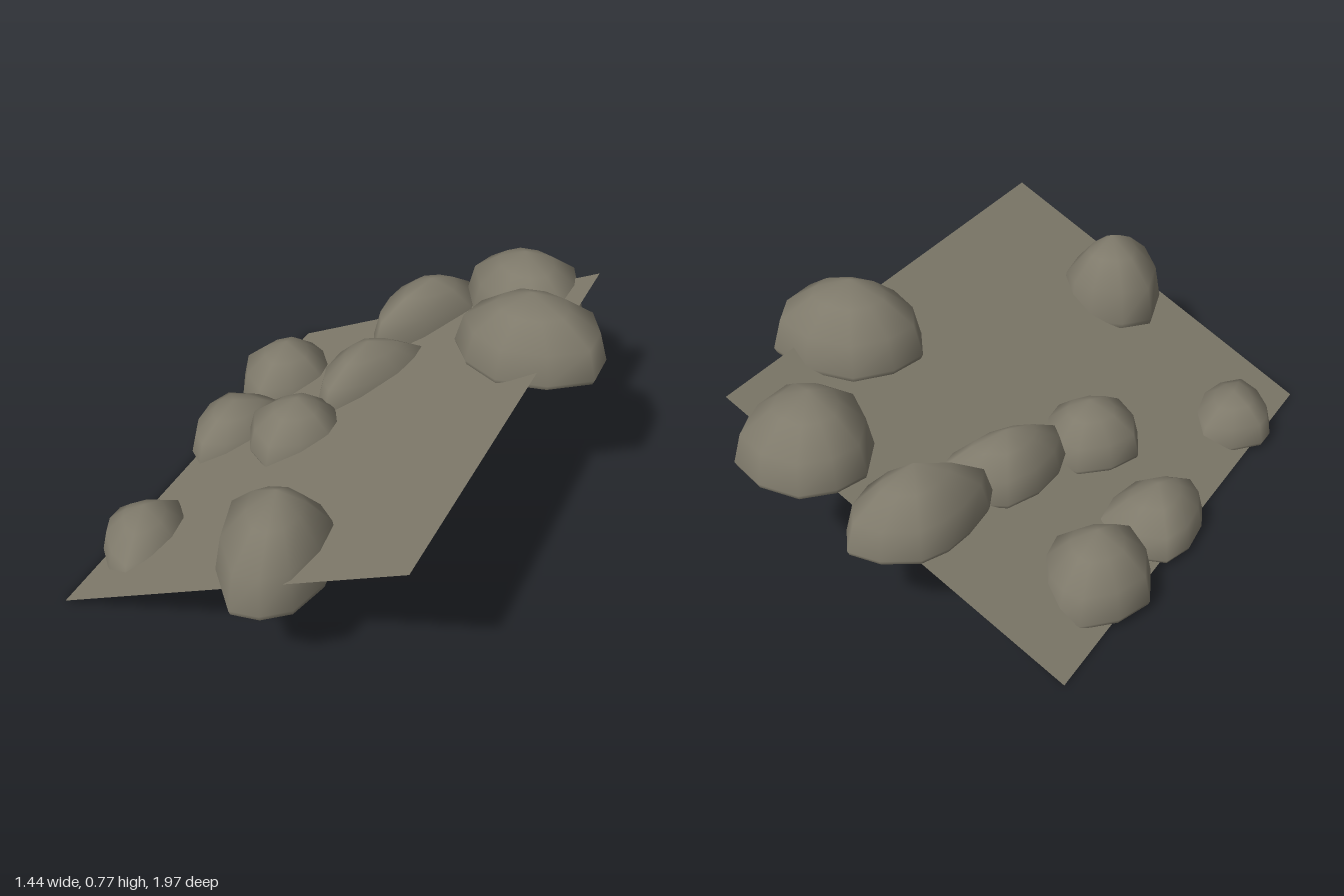
import * as THREE from 'three';

// Each rock: name, base height, peak [x, y, z], five corners [x, z] clockwise from above
const ROCKS = [
  ['upperFrontRock', 0.53, [0.46, 0.775, -0.31], [[0.21, -0.27], [0.32, -0.5], [0.65, -0.49], [0.72, -0.23], [0.42, -0.1]]],
  ['upperBackRock', 0.43, [0.29, 0.66, -0.75], [[0.07, -0.77], [0.18, -0.96], [0.45, -0.93], [0.51, -0.62], [0.27, -0.54]]],
  ['middleBackRock', 0.27, [-0.05, 0.49, -0.7], [[-0.23, -0.67], [-0.18, -0.86], [0.03, -0.94], [0.11, -0.75], [-0.18, -0.47]]],
  ['middleLongRock', 0.22, [-0.14, 0.41, -0.32], [[-0.28, -0.22], [-0.23, -0.46], [0.02, -0.53], [0, -0.31], [-0.2, -0.08]]],
  ['middleSmallRock', 0.17, [-0.25, 0.355, 0.03], [[-0.43, 0.05], [-0.3, -0.14], [-0.15, -0.1], [-0.09, 0.07], [-0.27, 0.23]]],
  ['frontRock', 0.285, [0.05, 0.575, 0.73], [[-0.16, 0.67], [0.03, 0.54], [0.2, 0.62], [0.19, 0.91], [0.02, 0.99]]],
  ['lowerBackRock', 0.02, [-0.53, 0.24, -0.42], [[-0.72, -0.42], [-0.59, -0.63], [-0.44, -0.59], [-0.35, -0.4], [-0.55, -0.21]]],
  ['lowerMiddleRock', 0.015, [-0.56, 0.19, -0.06], [[-0.7, 0], [-0.68, -0.22], [-0.42, -0.25], [-0.43, 0.02], [-0.6, 0.14]]],
  ['lowerFrontRock', 0.015, [-0.55, 0.18, 0.57], [[-0.69, 0.53], [-0.51, 0.4], [-0.39, 0.61], [-0.49, 0.8], [-0.66, 0.67]]],
];

// Rings from base to crown: [scale of outline, fraction of height]
const RINGS = [[0.97, 0], [1, 0.07], [0.89, 0.49], [0.48, 0.79]];

function rockGeometry(base, [px, py, pz], corners) {
  // The corners plus one bulging point between each pair
  const curve = new THREE.CatmullRomCurve3(corners.map(([x, z]) => new THREE.Vector3(x, 0, z)), true);
  const n = corners.length * 2;
  const outline = curve.getPoints(n).slice(0, n);
  const pos = [], index = [];
  const addRing = ([s, t]) => outline.forEach(({ x, z }) =>
    pos.push(px + (x - px) * s, base + (py - base) * t, pz + (z - pz) * s));

  RINGS.forEach(addRing);
  const top = (RINGS.length - 1) * n, peak = top + n;
  pos.push(px, py, pz);
  // Separate vertices keep the flat underside crisp
  const under = peak + 1, centre = under + n;
  addRing(RINGS[0]);
  pos.push(px, base, pz);

  for (let i = 0; i < n; i++) {
    const j = (i + 1) % n;
    for (let a = 0; a < top; a += n) {
      const b = a + n;
      index.push(a + j, a + i, b + i, a + j, b + i, b + j);
    }
    index.push(peak, top + j, top + i, centre, under + i, under + j);
  }
  const g = new THREE.BufferGeometry();
  g.setAttribute('position', new THREE.Float32BufferAttribute(pos, 3));
  g.setIndex(index);
  g.computeVertexNormals();
  return g;
}

export function createModel() {
  const group = new THREE.Group();
  group.name = 'rockySlope';
  const stone = new THREE.MeshStandardMaterial({ color: 0x7f7a6b, side: THREE.DoubleSide });
  stone.name = 'stone';

  // Thin sloping ground sheet rising towards +x
  const run = 1.2, rise = 0.59;
  const sheet = new THREE.PlaneGeometry(Math.hypot(run, rise), 1.74);
  sheet.rotateX(-Math.PI / 2).rotateZ(Math.atan2(rise, run)).translate(-0.05, rise / 2, 0.04);
  const slope = new THREE.Mesh(sheet, stone);
  slope.name = 'slope';
  group.add(slope);

  for (const [name, base, peak, corners] of ROCKS) {
    const rock = new THREE.Mesh(rockGeometry(base, peak, corners), stone);
    rock.name = name;
    group.add(rock);
  }
  return group;
}
